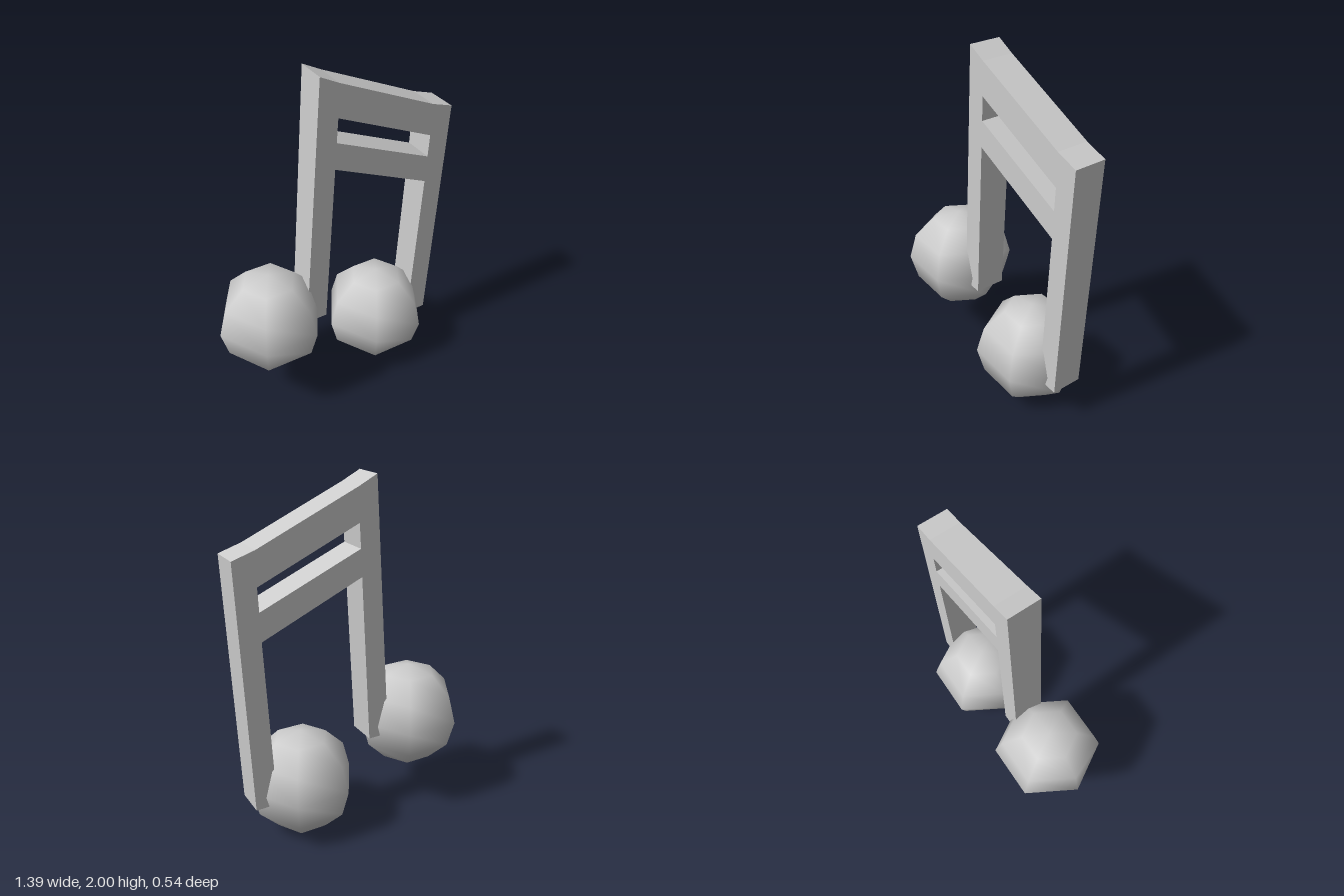
import * as THREE from 'three';

const material = new THREE.MeshStandardMaterial({ color: 0xcccccc });
const DEPTH = 0.176;
const toPoints = (list) => list.map(([x, y]) => new THREE.Vector2(x, y));

// Two leaning stems joined by a pair of sloping beams, cut as one slab
function createFrame() {
  const outline = new THREE.Shape(toPoints([
    [-0.2, 0.5], [-0.075, 0.5], [-0.02, 1.475],  // left-hand stem
    [0.56, 1.222], [0.515, 0.25], [0.64, 0.25],  // lower beam, right-hand stem
    [0.695, 1.655], [0.57, 1.695], [0, 1.947], [-0.105, 2], // upper beam
  ]));
  // Slot between the beams
  outline.holes.push(new THREE.Path(toPoints([
    [-0.004, 1.762], [0.57, 1.51], [0.565, 1.38], [-0.012, 1.627],
  ])));
  const geometry = new THREE.ExtrudeGeometry(outline, { depth: DEPTH, bevelEnabled: false });
  geometry.translate(0, 0, -DEPTH / 2);
  const frame = new THREE.Mesh(geometry, material);
  frame.name = 'stemsAndBeams';
  return frame;
}

// Coarse round note head with smooth shading
function createHead(name, x, y) {
  const head = new THREE.Mesh(new THREE.SphereGeometry(0.31, 6, 6), material);
  head.name = name;
  head.position.set(x, y, 0);
  return head;
}

export function createModel() {
  const model = new THREE.Group();
  model.name = 'beamedMusicNotes';
  model.add(
    createFrame(),
    createHead('rightNoteHead', -0.39, 0.56),
    createHead('leftNoteHead', 0.32, 0.31),
  );
  return model;
}
